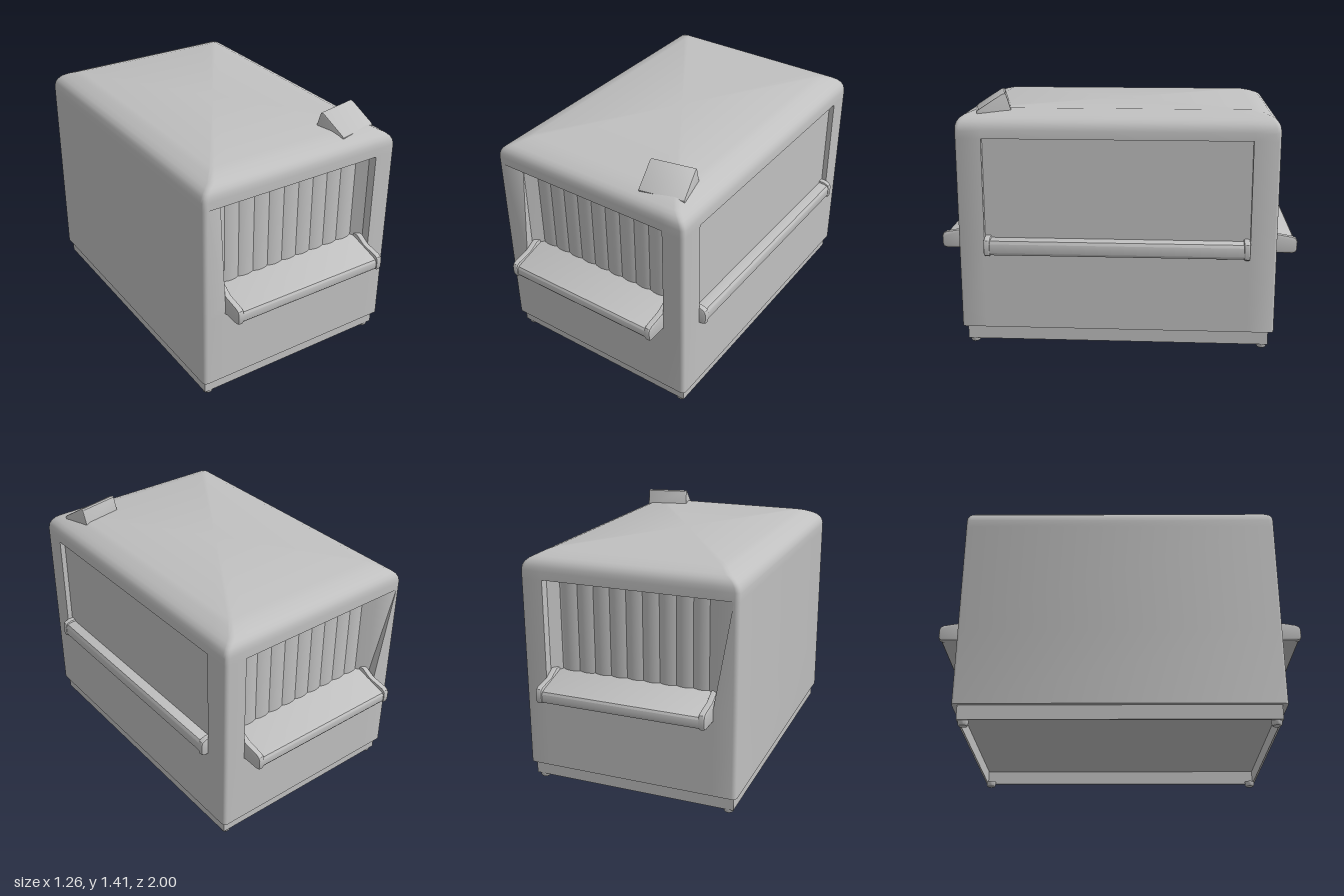
import * as THREE from 'three';
import { toCreasedNormals } from 'three/addons/utils/BufferGeometryUtils.js';

const CX = -0.02, HX = 0.61, HZ = 0.875;
const grey = new THREE.MeshStandardMaterial({ color: 0xc0c0c0 });
grey.name = 'light grey';
const greySheet = grey.clone();
greySheet.side = THREE.DoubleSide;

function mesh(name, geometry, material = grey) {
  const m = new THREE.Mesh(geometry, material);
  m.name = name;
  return m;
}

// Extrudes an [outward z, y] profile along x, centred, with softened ends
function bar(name, profile, width, bevel = 0.006) {
  const shape = new THREE.Shape(profile.map(([z, y]) => new THREE.Vector2(z, y)));
  const g = new THREE.ExtrudeGeometry(shape, {
    depth: width - 2 * bevel, bevelThickness: bevel, bevelSize: bevel, bevelOffset: -bevel, bevelSegments: 2,
  });
  g.translate(0, 0, bevel - width / 2);
  g.rotateY(-Math.PI / 2);
  return mesh(name, toCreasedNormals(g, 0.6));
}

// Plan outline of the cabinet at one height; notch = 1 cuts the end mouths and side recess
function outline(y, insetX, insetZ, notch) {
  const r = 0.025, lean = THREE.MathUtils.clamp((y - 0.6) / 0.58, 0, 1);
  const left = -0.5 - 0.1 * lean, pts = [];
  const corner = (x, z, start) => {
    for (let i = 0; i <= 4; i++) {
      const a = start + (i / 4) * Math.PI / 2;
      pts.push([x + r * Math.cos(a), z - r * Math.sin(a)]);
    }
  };
  const mouth = [[left, 0], [-0.5, 0.05], [-0.44, 0.1], [0.41, 0.1], [0.46, 0.05], [0.46, 0]];
  const right = CX + HX, inner = right - 0.03 * notch;
  corner(right - r, HZ - r, -Math.PI / 2);
  pts.push([right, 0.73], [inner, 0.73], [inner, -0.73], [right, -0.73]);
  corner(right - r, -HZ + r, 0);
  [...mouth].reverse().forEach(([x, d]) => pts.push([x, -HZ + d * notch]));
  corner(CX - HX + r, -HZ + r, Math.PI / 2);
  corner(CX - HX + r, HZ - r, Math.PI);
  mouth.forEach(([x, d]) => pts.push([x, HZ - d * notch]));
  return pts.map(([x, z]) => [CX + (x - CX) * (1 - insetX / HX), y, z * (1 - insetZ / HZ)]);
}

// Lofts the cabinet through its heights and closes it top and bottom
function cabinetGeometry() {
  const rings = [
    [0.105, 0, 0, 0], [0.53, 0, 0, 0], [0.53, 0, 0, 1], [0.6, 0, 0, 1], [1.18, 0, 0, 1], [1.18, 0, 0, 0],
    [1.225, 0, 0, 0], [1.25, 0.006, 0.002, 0], [1.27, 0.018, 0.009, 0], [1.287, 0.038, 0.022, 0],
    [1.3, 0.064, 0.042, 0], [1.318, 0.1, 0.09, 0], [1.33, 0.135, 0.14, 0],
  ].map((level) => outline(...level));
  const pos = [], n = rings[0].length;
  const tri = (...corners) => corners.forEach((c) => pos.push(...c));
  for (let k = 0; k < rings.length - 1; k++) {
    const a = rings[k], b = rings[k + 1];
    for (let i = 0; i < n; i++) {
      const j = (i + 1) % n;
      tri(a[i], a[j], b[j]);
      tri(a[i], b[j], b[i]);
    }
  }
  const low = rings[0], top = rings[rings.length - 1];
  for (let i = 0; i < n; i++) {
    const j = (i + 1) % n;
    tri(top[i], top[j], [CX, 1.33, 0]);
    tri(low[j], low[i], [CX, 0.105, 0]);
  }
  const g = new THREE.BufferGeometry();
  g.setAttribute('position', new THREE.Float32BufferAttribute(pos, 3));
  return toCreasedNormals(g, 0.6);
}

// A ledge with a raised cap at each end
function ledge(name, width, barProfile, capProfile) {
  const group = new THREE.Group();
  group.name = name;
  group.add(bar('ledgeBar', barProfile, width - 0.03));
  for (const s of [-1, 1]) {
    const cap = bar('ledgeEndCap', capProfile, 0.036, 0.01);
    cap.position.x = s * (width / 2 - 0.018);
    group.add(cap);
  }
  return group;
}

// Sloping shelf and hanging curtain strips of one end
function endUnit(name) {
  const group = new THREE.Group();
  group.name = name;
  group.add(ledge('shelf', 0.96,
    [[0.77, 0.53], [0.97, 0.53], [0.985, 0.535], [0.993, 0.548], [0.993, 0.585], [0.985, 0.597], [0.965, 0.605], [0.77, 0.66]],
    [[0.77, 0.527], [0.975, 0.527], [0.993, 0.533], [1, 0.548], [1, 0.597], [0.993, 0.612], [0.975, 0.622], [0.88, 0.638], [0.82, 0.672], [0.77, 0.672]]));
  return group;
}

function curtain(centreX) {
  const group = new THREE.Group();
  group.name = 'curtain';
  const pitch = 0.85 / 9, radius = 0.13, half = Math.asin(pitch / 2 / radius);
  for (let i = 0; i < 9; i++) {
    const strip = mesh('curtainStrip',
      new THREE.CylinderGeometry(radius, radius, 0.57, 6, 1, true, -half, 2 * half), greySheet);
    strip.position.set(centreX + (i - 4) * pitch, 0.895, 0.777 - radius * Math.cos(half));
    group.add(strip);
  }
  return group;
}

export function createModel() {
  const model = new THREE.Group();
  model.name = 'conveyorCabinet';
  model.add(mesh('cabinet', cabinetGeometry()));

  // Shelves and curtains at both ends
  [['frontEnd', 0], ['backEnd', Math.PI]].forEach(([name, turn]) => {
    const end = endUnit(name);
    end.add(curtain(turn ? 0.005 : -0.005));
    end.position.x = turn ? CX + 0.0 : CX;
    end.rotation.y = turn;
    model.add(end);
  });

  // Rail along the side recess
  const rail = ledge('sideRail', 1.46,
    [[0.55, 0.535], [0.615, 0.535], [0.625, 0.55], [0.625, 0.6], [0.615, 0.616], [0.59, 0.622], [0.55, 0.622]],
    [[0.55, 0.528], [0.612, 0.528], [0.626, 0.536], [0.63, 0.552], [0.63, 0.6], [0.624, 0.618], [0.61, 0.628], [0.59, 0.634], [0.55, 0.636]]);
  rail.rotation.y = Math.PI / 2;
  model.add(rail);

  // Hollow plinth
  const rect = (path, x, z) => path.moveTo(-x, -z).lineTo(x, -z).lineTo(x, z).lineTo(-x, z).closePath();
  const frame = rect(new THREE.Shape(), 0.588, 0.845);
  frame.holes.push(rect(new THREE.Path(), 0.578, 0.835));
  const plinth = mesh('plinth', new THREE.ExtrudeGeometry(frame, { depth: 0.082, bevelEnabled: false }));
  plinth.rotation.x = -Math.PI / 2;
  plinth.position.set(CX, 0.025, 0);
  model.add(plinth);

  // Feet
  for (const sx of [-1, 1]) for (const sz of [-1, 1]) {
    const profile = [[0, 0], [0.022, 0], [0.027, 0.006], [0.029, 0.03], [0, 0.03]];
    const foot = mesh('foot', toCreasedNormals(
      new THREE.LatheGeometry(profile.map(([x, y]) => new THREE.Vector2(x, y)), 16), 0.7));
    foot.position.set(CX + sx * 0.553, 0, sz * 0.813);
    model.add(foot);
  }

  // Angled control console on the roof
  const consoleBox = bar('controlConsole',
    [[0.092, 1.285], [0.094, 1.315], [0.084, 1.326], [-0.045, 1.408], [-0.06, 1.412], [-0.068, 1.406], [-0.096, 1.315], [-0.09, 1.285]], 0.25);
  consoleBox.position.set(0.378, 0, 0.695);
  consoleBox.rotation.y = 0.2;
  model.add(consoleBox);

  return model;
}
